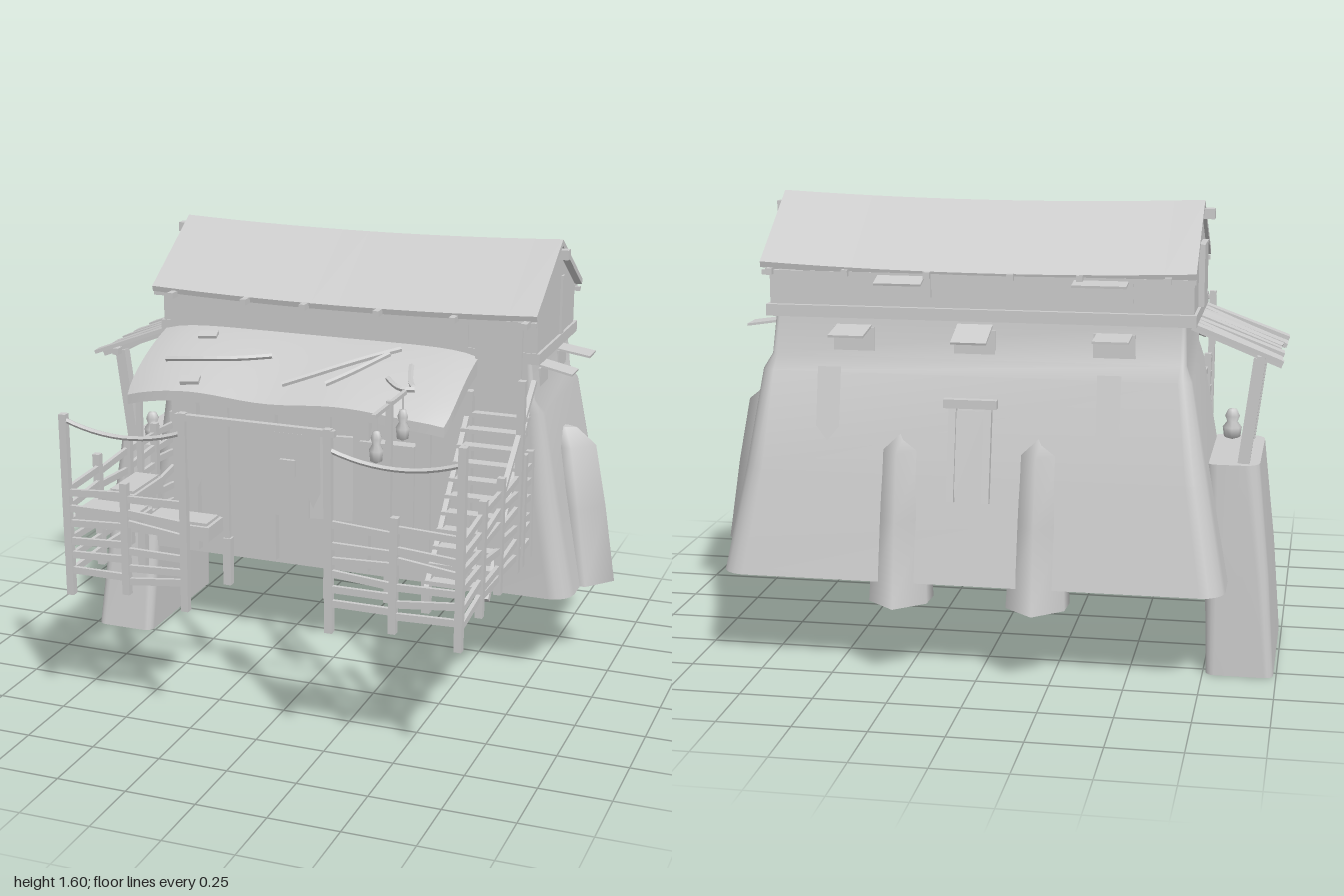
import * as THREE from 'three';

const flat = new THREE.MeshStandardMaterial({ color: 0xcccccc, flatShading: true });
const smooth = new THREE.MeshStandardMaterial({ color: 0xcccccc, side: THREE.DoubleSide });
const V = (x, y, z) => new THREE.Vector3(x, y, z);

export function createModel() {
  const root = new THREE.Group();
  let seed = 7;
  const jitter = (a) => ((seed = (seed * 16807) % 2147483647) / 2147483647 - 0.5) * 2 * a;

  const add = (name, geo, mat = flat) => {
    const m = new THREE.Mesh(geo, mat);
    m.name = name;
    root.add(m);
    return m;
  };
  // box given by its limits
  const block = (name, x0, x1, y0, y1, z0, z1) => {
    const m = add(name, new THREE.BoxGeometry(x1 - x0, y1 - y0, z1 - z0));
    m.position.set((x0 + x1) / 2, (y0 + y1) / 2, (z0 + z1) / 2);
    return m;
  };
  // beam of section w x h from a to b
  const beam = (name, a, b, w = 0.02, h = w) => {
    const m = add(name, new THREE.BoxGeometry(w, h, a.distanceTo(b)));
    m.position.copy(a).lerp(b, 0.5);
    m.lookAt(b);
    return m;
  };
  const post = (x, z, y0, y1, w = 0.026) => beam('post', V(x, y0, z), V(x + jitter(0.006), y1, z), w);
  // skin through rings of equal point count, listed upward, counterclockwise seen from above; open below
  const loft = (name, rings) => {
    const n = rings[0].length, pos = [], idx = [];
    rings.forEach((r) => r.forEach((p) => pos.push(p.x, p.y, p.z)));
    for (let i = 0; i < rings.length - 1; i++)
      for (let j = 0; j < n; j++) {
        const a = i * n + j, b = i * n + ((j + 1) % n);
        idx.push(a, b, b + n, a, b + n, a + n);
      }
    const base = pos.length / 3;
    rings[rings.length - 1].forEach((p) => pos.push(p.x, p.y, p.z));
    for (let j = 1; j < n - 1; j++) idx.push(base, base + j, base + j + 1);
    const g = new THREE.BufferGeometry();
    g.setAttribute('position', new THREE.Float32BufferAttribute(pos, 3));
    g.setIndex(idx);
    g.computeVertexNormals();
    return add(name, g, smooth);
  };
  // rounded rectangle ring
  const ring = (y, x0, x1, z0, z1, r) => {
    const pts = [];
    [[x1 - r, z0 + r], [x0 + r, z0 + r], [x0 + r, z1 - r], [x1 - r, z1 - r]].forEach(([cx, cz], q) => {
      for (let k = 0; k <= 4; k++) {
        const t = ((q + k / 4) * Math.PI) / 2;
        pts.push(V(cx + r * Math.cos(t), y, cz - r * Math.sin(t)));
      }
    });
    return pts;
  };

  // sloping plaster house body and upper wall
  loft('houseBody', [
    ring(0.34, -0.83, 0.89, -0.755, -0.05, 0.08), ring(0.7, -0.762, 0.82, -0.69, -0.05, 0.07),
    ring(1.03, -0.7, 0.765, -0.622, -0.05, 0.045), ring(1.08, -0.68, 0.735, -0.588, -0.05, 0.02),
    ring(1.22, -0.675, 0.72, -0.575, -0.05, 0.015)]);
  // side tower
  loft('sideTower', [
    ring(0.005, -0.99, -0.76, -0.555, 0.02, 0.03), ring(0.36, -0.965, -0.75, -0.55, -0.028, 0.04),
    ring(0.74, -0.925, -0.735, -0.535, -0.075, 0.05)]);

  // five sided buttresses; local +z points outward
  const buttress = (x, z, turn, y0, y1) => {
    const section = (y, w, back, tip) => [[-w, back], [-w * 0.95, (tip + back) / 2], [0, tip], [w * 0.95, (tip + back) / 2], [w, back]]
      .map(([a, b]) => V(a, y, b));
    const m = loft('buttress', [
      section(y0, 0.105, -0.09, 0.08), section(y0 + (y1 - y0) * 0.5, 0.092, -0.13, 0.035),
      section(y1 - 0.06, 0.08, -0.16, -0.01), section(y1, 0.018, -0.16, -0.085)]);
    m.position.set(x, 0, z);
    m.rotation.y = turn;
  };
  buttress(-0.2, -0.74, Math.PI, 0.265, 0.84);
  buttress(0.27, -0.74, Math.PI, 0.265, 0.84);
  buttress(0.915, -0.315, Math.PI / 2, 0.34, 0.92);

  // attic with gables, and a belt round its foot; outlines are drawn as (-z, y)
  const extrudeX = (name, pts, x0, x1, steps) => {
    const g = new THREE.ExtrudeGeometry(new THREE.Shape(pts.map((p) => new THREE.Vector2(...p))),
      { depth: x1 - x0, steps, bevelEnabled: false });
    g.rotateY(Math.PI / 2).translate(x0, 0, 0);
    return add(name, g);
  };
  extrudeX('attic', [[0.055, 1.23], [0.57, 1.23], [0.57, 1.395], [0.312, 1.562], [0.055, 1.395]], -0.7, 0.74, 1);
  block('wallBelt', -0.71, 0.75, 1.21, 1.25, -0.59, -0.05);
  // roof with slightly sagging ridge
  const roof = extrudeX('roof', [[-0.015, 1.37], [0.312, 1.575], [0.625, 1.37], [0.63, 1.39], [0.312, 1.598], [-0.02, 1.39]], -0.71, 0.755, 14);
  const rp = roof.geometry.attributes.position;
  for (let i = 0; i < rp.count; i++) {
    const x = rp.getX(i);
    rp.setY(i, rp.getY(i) + 0.018 * (x / 0.74) ** 2 - 0.011 + 0.004 * x);
  }
  roof.geometry.computeVertexNormals();
  beam('ridgePole', V(-0.745, 1.555, -0.312), V(0.78, 1.555, -0.312), 0.035);
  for (const z of [0, -0.62]) beam('eavePole', V(-0.71, 1.365, z), V(0.75, 1.365, z), 0.016);
  for (const x of [-0.62, -0.33, -0.1, 0.18, 0.46, 0.72])
    beam('rafter', V(x, 1.37, 0.06), V(x, 1.37, -0.65), 0.022);
  // attic panels and shutters
  block('atticFrontPanel', -0.67, 0.49, 1.25, 1.36, -0.06, -0.045);
  block('stairDoor', 0.52, 0.69, 1.08, 1.36, -0.06, -0.035);
  block('gableBoard', 0.735, 0.748, 1.25, 1.465, -0.39, -0.36);
  block('sideShutter', -0.72, -0.695, 1.25, 1.46, -0.4, -0.25);

  // propped window flaps with frames
  const flap = (x, y, z, w, turn) => {
    const g = new THREE.Group();
    g.name = 'windowFlap';
    const frame = new THREE.Mesh(new THREE.BoxGeometry(w + 0.02, 0.08, 0.02), flat);
    const leaf = new THREE.Mesh(new THREE.BoxGeometry(w, 0.008, 0.13), flat);
    frame.position.y = -0.02;
    leaf.position.set(0, 0.015, 0.06);
    leaf.rotation.x = 0.2 + jitter(0.15);
    g.add(frame, leaf);
    g.position.set(x, y, z);
    g.rotation.y = turn;
    root.add(g);
  };
  for (const [x, w] of [[-0.44, 0.12], [0.03, 0.12], [0.445, 0.12]]) flap(x, 1.16, -0.578, w, Math.PI);
  for (const [x, w] of [[-0.4, 0.18], [0.27, 0.16]]) flap(x, 1.345, -0.57, w, Math.PI);
  for (const z of [-0.195, -0.455]) flap(0.722, 1.155, z, 0.09, Math.PI / 2);

  // back window and hanging pennants, leaning with the wall
  const lean = (y) => -0.628 - (1.03 - y) * 0.197;
  block('backWindow', -0.02, 0.08, 0.63, 0.92, -0.69, -0.655).rotation.x = 0.19;
  for (const x of [-0.03, 0.09]) beam('windowJamb', V(x, 0.62, lean(0.62) - 0.012), V(x, 0.94, lean(0.94) - 0.012), 0.025);
  beam('windowLintel', V(-0.06, 0.945, -0.66), V(0.12, 0.945, -0.66), 0.03);
  const pennant = (x, y, z, w, h, tilt) => {
    const s = new THREE.Shape([[-w, 0], [-w, -h * 0.8], [0, -h], [w, -h * 0.8], [w, 0]].map((p) => new THREE.Vector2(...p)));
    const m = add('pennant', new THREE.ShapeGeometry(s), smooth);
    m.position.set(x, y, z);
    m.rotation.x = tilt;
  };
  for (const x of [-0.43, 0.52]) pennant(x, 1.05, -0.632, 0.04, 0.25, 0.2);

  // front wall panels and door
  for (const [a, b] of [[-0.66, -0.56], [-0.31, -0.24], [0.07, 0.13], [0.31, 0.36], [0.47, 0.52]])
    block('wallPilaster', a, b, 0.36, 1.1, -0.06, -0.015);
  block('wallPanelLeft', -0.24, -0.1, 0.55, 0.875, -0.05, 0);
  block('wallPanelRight', 0.1, 0.31, 0.55, 0.875, -0.05, 0);
  block('door', -0.1, 0.07, 0.55, 0.875, -0.04, -0.02).rotation.y = 0.15;
  block('doorSign', -0.21, -0.15, 0.71, 0.775, 0, 0.015);

  // sagging cloth awning
  const clothMid = (x, z) => {
    const t = (z + 0.055) / 0.38, e = Math.abs(x + 0.08) / 0.61;
    return 1.215 - 0.06 * t - 0.085 * t * t - 0.025 * e ** 8 + 0.008 * Math.sin(x * 11) * t;
  };
  const clothTop = (x, z) => clothMid(x, z) + 0.03 * (1 - 0.4 * (z + 0.055) / 0.38);
  const cloth = new THREE.BoxGeometry(1.22, 0.06, 0.38, 24, 1, 10).translate(-0.08, 0, 0.135);
  const cp = cloth.attributes.position;
  for (let i = 0; i < cp.count; i++) {
    const x = cp.getX(i), z = cp.getZ(i), t = (z + 0.055) / 0.38, e = Math.abs(x + 0.08) / 0.61;
    cp.setXYZ(i, -0.08 + (x + 0.08) * (1 - 0.02 * t ** 8), cp.getY(i) * (1 - 0.4 * t) + clothMid(x, z), z - 0.015 * e ** 8 * t);
  }
  cloth.computeVertexNormals();
  add('awning', cloth, smooth);
  // branches and scraps lying on the awning
  for (const [x0, z0, x1, z1] of [[-0.58, 0.185, -0.19, 0.12], [-0.1, 0.25, 0.26, 0.01], [0.06, 0.24, 0.23, 0.05],
    [0.27, 0.18, 0.38, 0.21], [0.33, 0.1, 0.37, 0.2]]) {
    const pts = [0, 0.25, 0.5, 0.75, 1].map((t) => {
      const x = x0 + (x1 - x0) * t, z = z0 + (z1 - z0) * t + 0.02 * Math.sin(t * Math.PI);
      return V(x, clothTop(x, z) + 0.008, z);
    });
    add('branch', new THREE.TubeGeometry(new THREE.CatmullRomCurve3(pts), 8, 0.01, 5));
  }
  for (const [x, z] of [[-0.44, 0.28], [-0.48, 0.03]]) {
    const y = clothTop(x, z);
    block('clothScrap', x - 0.035, x + 0.035, y - 0.012, y + 0.012, z - 0.018, z + 0.018).rotation.set(0.4, 0.15, 0);
  }
  for (const x of [-0.645, -0.3, 0.09, 0.46]) {
    post(x, 0.29, 0.37, 1.06, 0.02);
    post(x, 0.29, 0.37, 0.55, 0.03);
  }

  // crooked rail fences: posts [x, z, bottom, top] with rails between them
  const rails = (ax, az, bx, bz) => {
    for (const y of [0.56, 0.61, 0.67, 0.74, 0.79, 0.845])
      beam('rail', V(ax, y + jitter(0.018), az), V(bx, y + jitter(0.018), bz), 0.014, 0.024);
  };
  const fence = (pts) => pts.forEach(([x, z, y0, y1], i) => {
    post(x, z, y0, y1);
    if (i) rails(pts[i - 1][0], pts[i - 1][1], x, z);
  });
  fence([[-0.665, -0.04, 0.5, 0.9], [-0.665, 0.13, 0.5, 0.9], [-0.665, 0.35, 0.5, 0.9], [-0.665, 0.57, 0.5, 0.91],
    [-0.665, 0.8, 0.47, 1.12], [-0.45, 0.8, 0.5, 0.9], [-0.23, 0.8, 0.47, 1.17]]);
  fence([[0.29, 0.8, 0.47, 1.17], [0.51, 0.8, 0.5, 0.9], [0.735, 0.8, 0.47, 1.16], [0.735, 0.57, 0.5, 0.91],
    [0.735, 0.35, 0.5, 0.92], [0.735, 0.13, 0.5, 1.2], [0.735, 0.07, 0.5, 0.92], [0.735, -0.04, 0.5, 0.9]]);
  // gate beam, pennants and drooping ropes
  beam('gateBeam', V(-0.25, 1.155, 0.8), V(0.31, 1.155, 0.8), 0.022);
  for (const x of [-0.18, 0.24]) pennant(x, 1.165, 0.815, 0.025, 0.265, 0);
  for (const [a, b] of [[-0.665, -0.23], [0.29, 0.735]])
    add('rope', new THREE.TubeGeometry(new THREE.QuadraticBezierCurve3(V(a, 1.1, 0.8), V((a + b) / 2, 1.02, 0.8), V(b, 1.1, 0.8)), 12, 0.009, 5));

  // stairs up to the attic door
  for (let i = 0; i < 11; i++) {
    const z = 0.39 - i * 0.043, y = 0.53 + i * 0.0485;
    block('stairTread', 0.49, 0.725, y - 0.008, y + 0.008, z - 0.024, z + 0.024);
  }
  for (const x of [0.5, 0.715]) beam('stringer', V(x, 0.5, 0.42), V(x, 1.03, -0.05), 0.018, 0.025);
  beam('handrail', V(0.735, 0.85, 0.33), V(0.735, 1.15, -0.05), 0.018);

  // tables on the terrace
  for (const [x0, x1, z0, z1] of [[-0.645, -0.53, 0.34, 0.565], [-0.65, -0.415, 0.66, 0.78], [-0.39, -0.15, 0.66, 0.78]]) {
    block('tableTop', x0, x1, 0.72, 0.77, z0, z1);
    block('tableInset', x0 + 0.012, x1 - 0.012, 0.77, 0.78, z0 + 0.012, z1 - 0.012);
  }

  // turned ornaments: hanging pair and tower jar
  const turned = (name, x, y, z, s) => {
    const pts = [[0, 0], [0.022, 0.01], [0.026, 0.045], [0.014, 0.065], [0.02, 0.085], [0.012, 0.108], [0, 0.112]];
    const m = add(name, new THREE.LatheGeometry(pts.map((p) => new THREE.Vector2(...p)), 8), smooth);
    m.position.set(x, y, z);
    m.scale.set(s, 1, s);
  };
  post(0.405, 0.555, 0.5, 1.21, 0.02);
  beam('hangerBar', V(0.405, 1.195, 0.39), V(0.405, 1.195, 0.705), 0.014);
  for (const z of [0.41, 0.675]) {
    turned('hangingLantern', 0.405, 1.03, z, 0.95);
    beam('lanternCord', V(0.405, 1.13, z), V(0.405, 1.195, z), 0.006);
  }
  turned('jar', -0.81, 0.74, -0.15, 1.3);

  // plank lean-to over the tower
  for (const z of [-0.12, -0.49]) {
    beam('leanToPost', V(-0.87, 0.74, z), V(-0.915, 1.1, z), 0.04);
    beam('leanToRafter', V(-0.99, 1.08, z), V(-0.69, 1.2, z), 0.025);
  }
  beam('leanToPurlin', V(-0.92, 1.1, -0.54), V(-0.92, 1.1, -0.07), 0.025);
  for (let i = 0; i < 8; i++) {
    const z = -0.52 + i * 0.062;
    beam('leanToPlank', V(-0.985 + jitter(0.012), 1.095 + jitter(0.01), z + jitter(0.015)), V(-0.7, 1.21, z + jitter(0.015)), 0.054, 0.014);
  }
  return root;
}
